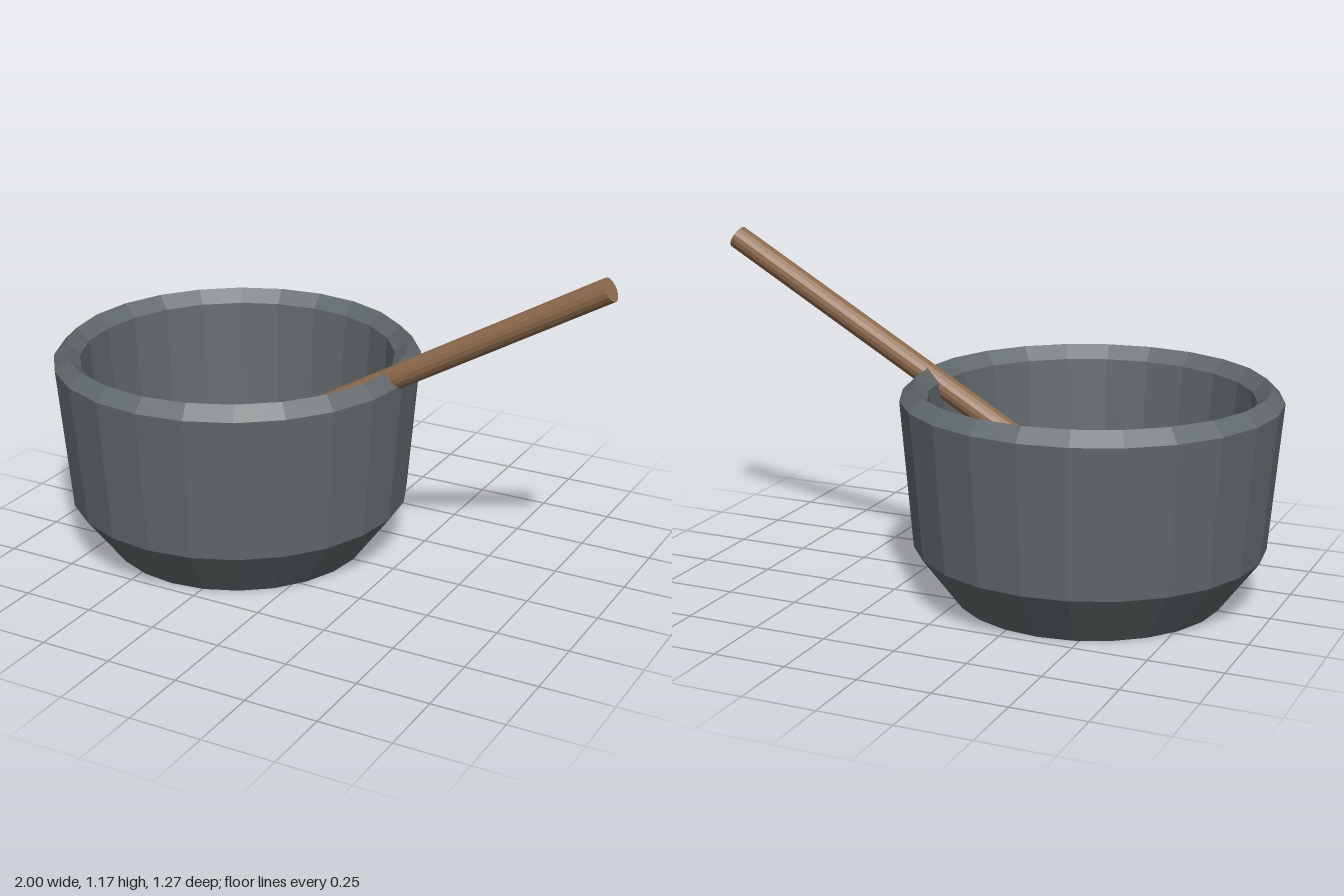
import * as THREE from 'three';

const SIDES = 24;
const FLOOR_Y = 0.13;
const FLOOR_R = 0.5;

export function createModel() {
  const group = new THREE.Group();
  group.name = 'mortarAndPestle';

  const stone = new THREE.MeshStandardMaterial({ color: 0x62696c, flatShading: true, side: THREE.DoubleSide });
  stone.name = 'grey stone';
  const wood = new THREE.MeshStandardMaterial({ color: 0x8f6b4e, flatShading: true });
  wood.name = 'brown wood';

  const mortar = new THREE.Group();
  mortar.name = 'mortar';
  mortar.position.x = -0.363;
  group.add(mortar);

  // Bowl: recess wall inside the foot, outer wall, ridged rim, inner wall, floor
  const profile = [
    [FLOOR_R, FLOOR_Y], [0.457, 0], [0.594, 0.183], [0.637, 0.686], [0.592, 0.731],
    [0.546, 0.686], [FLOOR_R, FLOOR_Y], [0, FLOOR_Y],
  ].map(([r, y]) => new THREE.Vector2(r, y));
  const bowl = new THREE.Mesh(new THREE.LatheGeometry(profile, SIDES), stone);
  bowl.name = 'bowl';
  mortar.add(bowl);

  // Stick leaning through the rim
  const low = new THREE.Vector3(-0.24, 0.427, 0);
  const high = new THREE.Vector3(0.98, 1.13, 0);
  const along = high.clone().sub(low);
  const stick = new THREE.Mesh(new THREE.CylinderGeometry(0.041, 0.041, along.length(), 16), wood);
  stick.name = 'stick';
  stick.position.copy(low).add(high).multiplyScalar(0.5);
  stick.quaternion.setFromUnitVectors(new THREE.Vector3(0, 1, 0), along.normalize());
  group.add(stick);

  return group;
}
